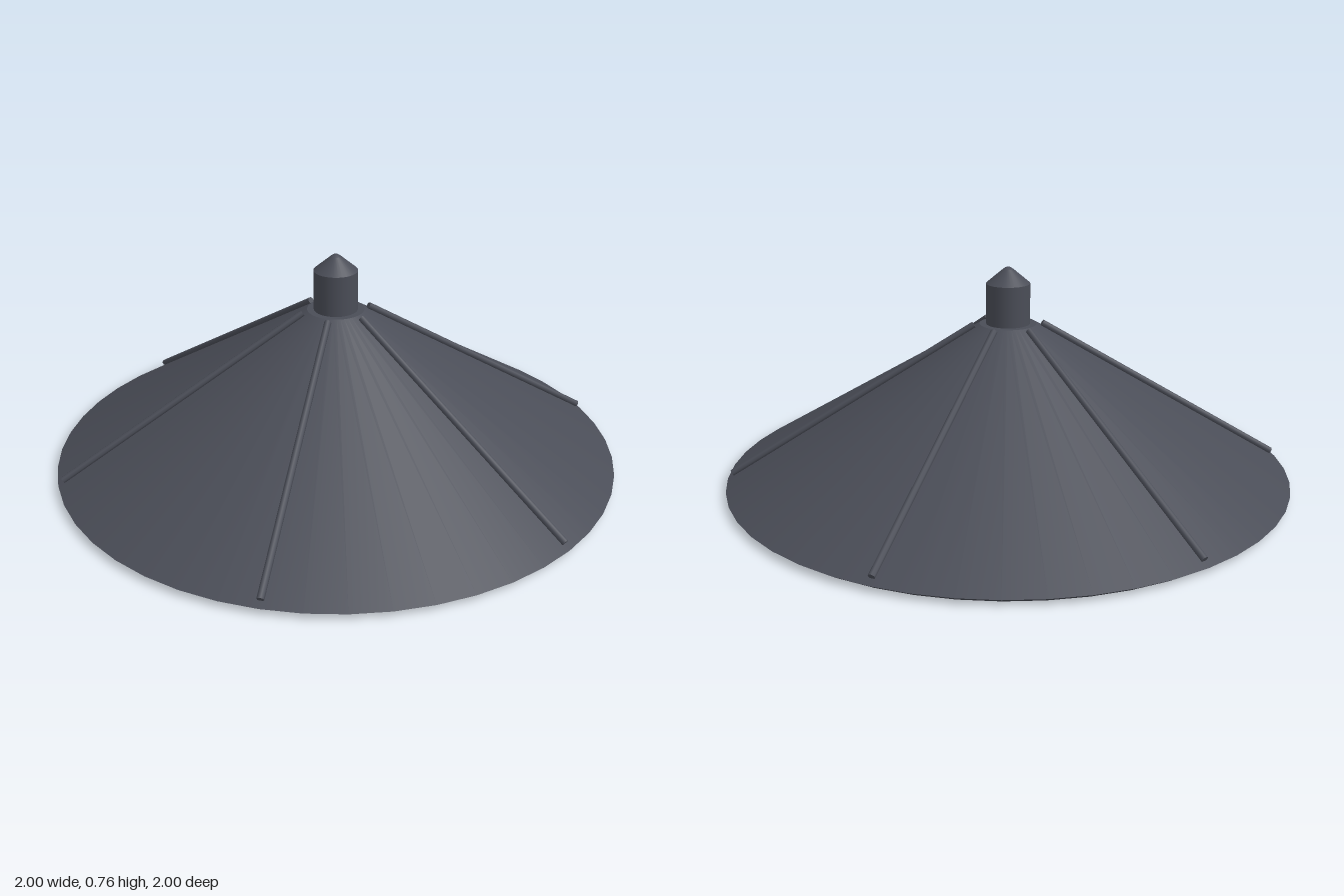
import * as THREE from 'three';

const SEGMENTS = 48;
const material = new THREE.MeshStandardMaterial({ color: 0x4a4d57 });

// Revolved part; each profile run is a separate smooth surface, so edges between runs stay sharp
function revolve(name, runs, segments) {
  const part = new THREE.Group();
  part.name = name;
  runs.forEach((run, i) => {
    const points = run.map(([r, y]) => new THREE.Vector2(r, y));
    const mesh = new THREE.Mesh(new THREE.LatheGeometry(points, segments), material);
    mesh.name = `${name}Surface${i + 1}`;
    part.add(mesh);
  });
  return part;
}

// Straight round bar between two points
function bar(name, from, to, radius) {
  const direction = to.clone().sub(from);
  const mesh = new THREE.Mesh(
    new THREE.CylinderGeometry(radius, radius, direction.length(), 8), material);
  mesh.name = name;
  mesh.position.copy(from).add(to).multiplyScalar(0.5);
  mesh.quaternion.setFromUnitVectors(new THREE.Vector3(0, 1, 0), direction.normalize());
  return mesh;
}

export function createModel() {
  const model = new THREE.Group();
  model.name = 'conicalRoof';

  // Roof: flat underside, bevelled rim, sloping cone and small flat top
  model.add(revolve('roof', [
    [[0, 0], [0.97, 0]],
    [[0.97, 0], [1, 0.02]],
    [[1, 0.02], [0.1, 0.56]],
    [[0.1, 0.56], [0, 0.56]],
  ], SEGMENTS));

  // Finial: short post with a blunt conical cap
  model.add(revolve('finial', [
    [[0.077, 0.55], [0.077, 0.703]],
    [[0.077, 0.703], [0.018, 0.753]],
    [[0.018, 0.753], [0.009, 0.759], [0, 0.761]],
  ], 32));

  // Six ribs lying along the slope
  const ribs = new THREE.Group();
  ribs.name = 'ribs';
  for (let i = 0; i < 6; i++) {
    const angle = (i * Math.PI) / 3;
    const at = (r, y) => new THREE.Vector3(r * Math.cos(angle), y, r * Math.sin(angle));
    ribs.add(bar(`rib${i + 1}`, at(0.12, 0.558), at(0.982, 0.041), 0.012));
  }
  model.add(ribs);

  return model;
}
